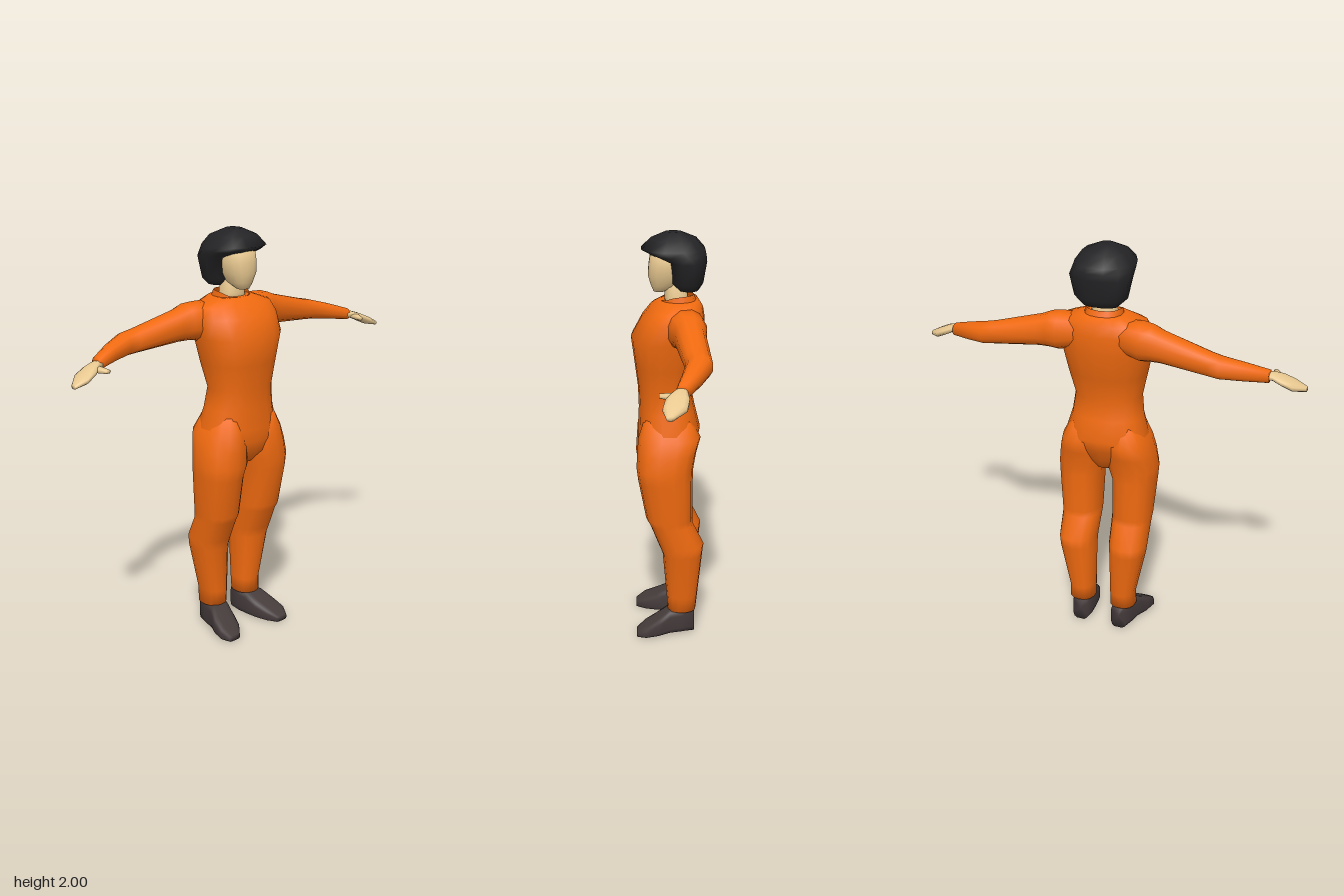
import * as THREE from 'three';

const mats = {};
for (const [name, color] of Object.entries({ suit: 0xf06a10, skin: 0xe8c890, hair: 0x232325, shoe: 0x453b3b })) {
  mats[name] = new THREE.MeshStandardMaterial({ color, roughness: 0.9, side: THREE.DoubleSide });
}

// How a section (t along the axis, a and b across it) lands in space
const alongY = (t, a, b) => [a, t, b];
const alongX = (t, a, b) => [t, b, a];
const alongZ = (t, a, b) => [a, b, t];

// Skin over sections [t, aMin, aMax, bMin, bMax]; power > 2 makes them boxier
function loft(sections, map, { sides = 14, power = 2.3, side = 1, caps = true } = {}) {
  const pos = [], index = [], n = sections.length;
  const add = (t, a, b) => {
    const [x, y, z] = map(t, a, b);
    pos.push(x * side, y, z);
  };
  const bend = (v) => Math.sign(v) * Math.pow(Math.abs(v), 2 / power);
  for (const [t, a0, a1, b0, b1] of sections) {
    for (let j = 0; j < sides; j++) {
      const th = ((j + 0.5) / sides) * Math.PI * 2;
      add(t, (a0 + a1) / 2 + (bend(Math.cos(th)) * (a1 - a0)) / 2,
        (b0 + b1) / 2 + (bend(Math.sin(th)) * (b1 - b0)) / 2);
    }
  }
  for (let i = 0; i < n - 1; i++) {
    for (let j = 0; j < sides; j++) {
      const p = i * sides + j, q = i * sides + ((j + 1) % sides);
      index.push(p, q, p + sides, q, q + sides, p + sides);
    }
  }
  if (caps) {
    for (const i of [0, n - 1]) {
      const [t, a0, a1, b0, b1] = sections[i], c = pos.length / 3;
      add(t, (a0 + a1) / 2, (b0 + b1) / 2);
      for (let j = 0; j < sides; j++) {
        const p = i * sides + j, q = i * sides + ((j + 1) % sides);
        index.push(...(i === 0 ? [c, q, p] : [c, p, q]));
      }
    }
  }
  // Turn the faces outward if the enclosed volume comes out negative
  const v = (i) => new THREE.Vector3().fromArray(pos, i * 3);
  const centre = v(0).add(v(Math.floor(sides / 2)));
  centre.multiplyScalar(0.5);
  let volume = 0;
  for (let k = 0; k < index.length; k += 3) {
    const [p, q, r] = [0, 1, 2].map((m) => v(index[k + m]).sub(centre));
    volume += p.dot(q.cross(r));
  }
  if (volume < 0) index.reverse();
  const g = new THREE.BufferGeometry();
  g.setAttribute('position', new THREE.Float32BufferAttribute(pos, 3));
  g.setIndex(index);
  g.computeVertexNormals();
  return g;
}

export function createModel() {
  const model = new THREE.Group();
  model.name = 'figure';
  const part = (name, mat, geometry) => {
    const m = new THREE.Mesh(geometry, mats[mat]);
    m.name = name;
    model.add(m);
    return m;
  };
  // Vertical sections symmetric about x = 0: [y, half width, zMin, zMax]
  const sym = (rows) => rows.map(([y, w, z0, z1]) => [y, -w, w, z0, z1]);

  // Overall body, from crotch to shoulders
  part('torso', 'suit', loft(sym([
    [0.885, 0.05, -0.07, 0.09],
    [0.94, 0.14, -0.10, 0.135],
    [1.00, 0.205, -0.13, 0.15],
    [1.06, 0.205, -0.15, 0.15],
    [1.16, 0.175, -0.125, 0.145],
    [1.26, 0.163, -0.105, 0.148],
    [1.38, 0.19, -0.14, 0.163],
    [1.51, 0.218, -0.168, 0.18],
    [1.60, 0.222, -0.168, 0.13],
    [1.65, 0.205, -0.16, 0.09],
    [1.685, 0.11, -0.14, 0.045],
  ]), alongY, { sides: 18 }));

  // Standing collar, dipping at the front
  const collarMap = (y, x, z) => [x, y - Math.max(0, z + 0.03) * 0.4, z];
  part('collar', 'suit', loft(sym([
    [1.665, 0.095, -0.135, 0.045],
    [1.712, 0.085, -0.115, 0.04],
  ]), collarMap, { caps: false }));

  part('neck', 'skin', loft(sym([
    [1.64, 0.075, -0.11, 0.025],
    [1.70, 0.06, -0.09, 0.02],
    [1.80, 0.052, -0.085, 0.02],
  ]), alongY));

  part('head', 'skin', loft(sym([
    [1.725, 0.03, 0.02, 0.072],
    [1.755, 0.055, -0.05, 0.085],
    [1.80, 0.076, -0.09, 0.099],
    [1.85, 0.085, -0.1, 0.096],
    [1.92, 0.08, -0.1, 0.085],
  ]), alongY, { sides: 16 }));

  // Bobbed hair: full crown, then cut back behind the face below the fringe
  part('hair', 'hair', loft(sym([
    [1.735, 0.085, -0.14, -0.04],
    [1.77, 0.125, -0.16, -0.005],
    [1.87, 0.147, -0.177, 0.01],
    [1.90, 0.142, -0.175, 0.085],
    [1.925, 0.138, -0.17, 0.132],
    [1.97, 0.105, -0.13, 0.085],
    [2.0, 0.035, -0.06, 0.02],
  ]), alongY, { sides: 12 }));

  for (const [label, side] of [['left', 1], ['right', -1]]) {
    // Trouser leg: [y, xMin, xMax, zMin, zMax]
    part(label + 'Leg', 'suit', loft([
      [0.125, 0.045, 0.175, -0.13, 0.01],
      [0.20, 0.045, 0.172, -0.138, 0.015],
      [0.44, 0.04, 0.222, -0.16, 0.035],
      [0.49, 0.039, 0.226, -0.166, 0.055],
      [0.60, 0.034, 0.228, -0.112, 0.098],
      [0.63, 0.034, 0.231, -0.11, 0.115],
      [0.83, 0.03, 0.246, -0.11, 0.152],
      [0.89, 0.008, 0.25, -0.113, 0.16],
      [0.97, 0.005, 0.237, -0.128, 0.155],
      [1.04, 0.01, 0.216, -0.148, 0.15],
      [1.13, 0.05, 0.17, -0.1, 0.12],
    ], alongY, { side }));

    // Shoe, heel to outturned toe: [z, xMin, xMax, yMin, yMax]
    part(label + 'Shoe', 'shoe', loft([
      [-0.122, 0.065, 0.145, 0, 0.135],
      [-0.06, 0.055, 0.165, 0, 0.135],
      [0.0, 0.057, 0.178, 0, 0.13],
      [0.06, 0.068, 0.205, 0, 0.09],
      [0.12, 0.09, 0.216, 0, 0.06],
      [0.165, 0.125, 0.195, 0, 0.03],
    ], alongZ, { side, sides: 12, power: 4 }));

    // Sleeve, shoulder to cuff: [x, zMin, zMax, yMin, yMax]
    part(label + 'Arm', 'suit', loft([
      [0.10, -0.15, 0.0, 1.52, 1.67],
      [0.20, -0.168, 0.02, 1.49, 1.67],
      [0.25, -0.166, 0.0, 1.497, 1.665],
      [0.30, -0.157, -0.015, 1.497, 1.645],
      [0.53, -0.168, -0.045, 1.478, 1.585],
      [0.58, -0.17, -0.05, 1.473, 1.575],
      [0.68, -0.125, -0.028, 1.464, 1.547],
      [0.785, -0.065, 0.0, 1.453, 1.512],
    ], alongX, { side, sides: 12 }));

    // Flat, slightly drooping hand with a thumb pointing forward
    part(label + 'Hand', 'skin', loft([
      [0.76, -0.052, -0.01, 1.463, 1.5],
      [0.80, -0.052, 0.015, 1.463, 1.498],
      [0.84, -0.058, 0.045, 1.443, 1.485],
      [0.89, -0.048, 0.058, 1.42, 1.462],
      [0.945, 0.01, 0.042, 1.41, 1.432],
    ], alongX, { side, sides: 10 }));
    part(label + 'Thumb', 'skin', loft([
      [-0.01, 0.785, 0.84, 1.458, 1.485],
      [0.03, 0.785, 0.825, 1.456, 1.484],
      [0.068, 0.78, 0.805, 1.46, 1.478],
    ], alongZ, { side, sides: 8 }));
  }
  return model;
}
